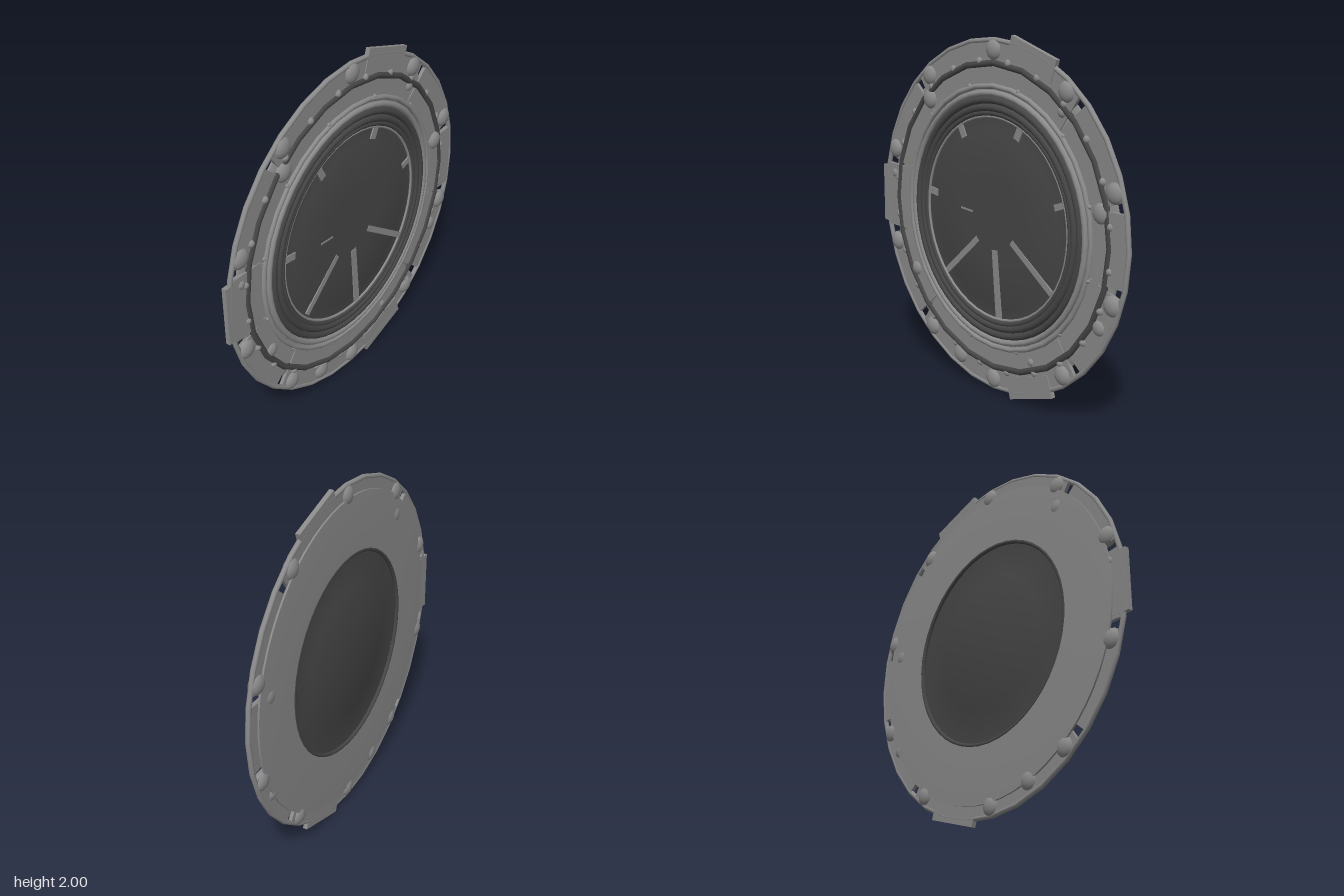
import * as THREE from 'three';
import { toCreasedNormals } from 'three/addons/utils/BufferGeometryUtils.js';

const material = (name, color) => {
  const m = new THREE.MeshStandardMaterial({ color });
  m.name = name;
  return m;
};

export function createModel() {
  const lightGrey = material('light grey', 0x8a8a8a);
  const darkGrey = material('dark grey', 0x464646);
  const group = new THREE.Group();
  const disc = new THREE.Group();
  disc.name = 'discAssembly';
  disc.position.y = 1;
  group.add(disc);

  const add = (name, geometry, mat, x = 0, y = 0, z = 0) => {
    const mesh = new THREE.Mesh(geometry, mat);
    mesh.name = name;
    mesh.position.set(x, y, z);
    disc.add(mesh);
    return mesh;
  };
  // Lathe around the z axis from [radius, z] points, outer side first
  const turned = (name, points, mat) => {
    const g = new THREE.LatheGeometry(points.map(p => new THREE.Vector2(...p)), 64);
    g.rotateX(Math.PI / 2);
    return add(name, toCreasedNormals(g, 0.6), mat);
  };
  const ring = (name, radius, tube, z, depth, mat, sides = 48) => {
    const mesh = add(name, new THREE.TorusGeometry(radius, tube, 12, sides), mat, 0, 0, z);
    mesh.scale.z = depth;
  };
  const stud = (name, x, y, r, depth = 0.58, mat = lightGrey) => {
    const mesh = add(name, new THREE.SphereGeometry(r, 20, 14), mat, x, y, 0);
    mesh.scale.z = depth;
  };
  const deg = THREE.MathUtils.degToRad;

  // Back plate and the dark lens in its opening
  turned('backPlate', [[0.575, -0.028], [0.8, -0.027], [0.905, -0.022], [0.905, -0.01],
    [0.88, 0.002], [0.575, 0.002], [0.575, -0.028]], lightGrey);
  turned('lens', [[0, -0.017], [0.4, -0.0145], [0.405, -0.013], [0.58, -0.01], [0.58, 0.002],
    [0.49, 0.004], [0.485, 0.0055], [0.25, 0.009], [0, 0.01]], darkGrey);
  ring('backLensRim', 0.58, 0.012, -0.02, 0.9, darkGrey);

  // Outer wall panels, separated by wedge-shaped gaps
  const cuts = [13.3, 47.5, 132.5, 166.7, 193.3, 227.5, 312.5, 346.7];
  cuts.forEach((cut, i) => {
    const end = i < 7 ? cuts[i + 1] : cuts[0] + 360;
    const shape = new THREE.Shape();
    const steps = Math.max(6, Math.round((end - cut) / 4));
    for (const [r, inset, back] of [[0.968, 1.7, false], [0.74, 0.1, true]]) {
      for (let k = 0; k <= steps; k++) {
        const t = (back ? steps - k : k) / steps;
        const a = deg(THREE.MathUtils.lerp(cut + inset, end - inset, t));
        if (!back && k === 0) shape.moveTo(r * Math.cos(a), r * Math.sin(a));
        else shape.lineTo(r * Math.cos(a), r * Math.sin(a));
      }
    }
    shape.closePath();
    add('rimPanel', new THREE.ExtrudeGeometry(shape, { depth: 0.02, bevelEnabled: false }),
      lightGrey, 0, 0, -0.012);
  });

  // Rectangular side plates and the three tabs on the edge
  for (const s of [-1, 1]) {
    add('sidePlate', new THREE.BoxGeometry(0.21, 0.38, 0.02), lightGrey, s * 0.85, 0, 0.002);
  }
  for (const a of [72, 180, 288].map(deg)) {
    const r = 0.935;
    const tab = add('edgeTab', new THREE.BoxGeometry(0.125, 0.345, 0.026), lightGrey,
      r * Math.cos(a), r * Math.sin(a), 0);
    tab.rotation.z = a;
  }

  // Concentric rings
  ring('outerRim', 0.971, 0.014, 0, 1, lightGrey, 32);
  ring('darkBand', 0.85, 0.019, 0.002, 1, darkGrey, 24);
  ring('middleRing', 0.728, 0.015, 0.007, 1, lightGrey, 32);
  ring('innerRing', 0.69, 0.017, 0.009, 1, lightGrey);
  ring('darkRing', 0.653, 0.02, 0.007, 1, darkGrey);
  ring('darkRing', 0.612, 0.021, 0.006, 1, darkGrey);
  ring('darkRing', 0.583, 0.016, 0.004, 1, darkGrey);
  ring('lensRim', 0.564, 0.008, 0.005, 1, lightGrey);

  // Large studs every 36 degrees, small beads on the dark band and middle ring
  for (let i = 0; i < 10; i++) {
    const a = deg(18 + i * 36);
    stud('largeStud', 0.92 * Math.cos(a), 0.92 * Math.sin(a), 0.057);
  }
  for (let i = 0; i < 24; i++) {
    const a = deg(7.5 + i * 15);
    stud('bandBead', 0.86 * Math.cos(a), 0.86 * Math.sin(a), 0.023, 1);
  }
  for (let i = 0; i < 12; i++) {
    const a = deg(15 + i * 30);
    stud('ringBead', 0.738 * Math.cos(a), 0.738 * Math.sin(a), 0.014, 1.4);
  }

  // Loose studs of various sizes
  const loose = [[-0.54, 0.61, 0.057], [0.79, 0.17, 0.057], [-0.285, -0.85, 0.057],
    [-0.69, -0.42, 0.043], [0.79, -0.42, 0.043], [0.51, 0.64, 0.03],
    [-0.885, 0.135, 0.03], [0.3, -0.74, 0.025]];
  for (const [x, y, r] of loose) stud('looseStud', x, y, r, r < 0.04 ? 0.75 : 0.58);

  // Light bars across the lens: start x, y, end x, y, width
  const bars = [[-0.13, -0.13, -0.4, -0.37, 0.035], [0.012, -0.17, 0.045, -0.55, 0.045],
    [0.145, -0.1, 0.455, -0.32, 0.035], [-0.275, 0.49, -0.24, 0.425, 0.04],
    [0.215, 0.53, 0.18, 0.46, 0.045], [-0.55, 0.085, -0.48, 0.075, 0.04],
    [0.54, 0.17, 0.47, 0.145, 0.035], [-0.27, 0.025, -0.17, 0.018, 0.01]];
  for (const [x1, y1, x2, y2, w] of bars) {
    const bar = add('lensBar', new THREE.BoxGeometry(Math.hypot(x2 - x1, y2 - y1), w, 0.008),
      lightGrey, (x1 + x2) / 2, (y1 + y2) / 2, 0.008);
    bar.rotation.z = Math.atan2(y2 - y1, x2 - x1);
  }
  return group;
}
